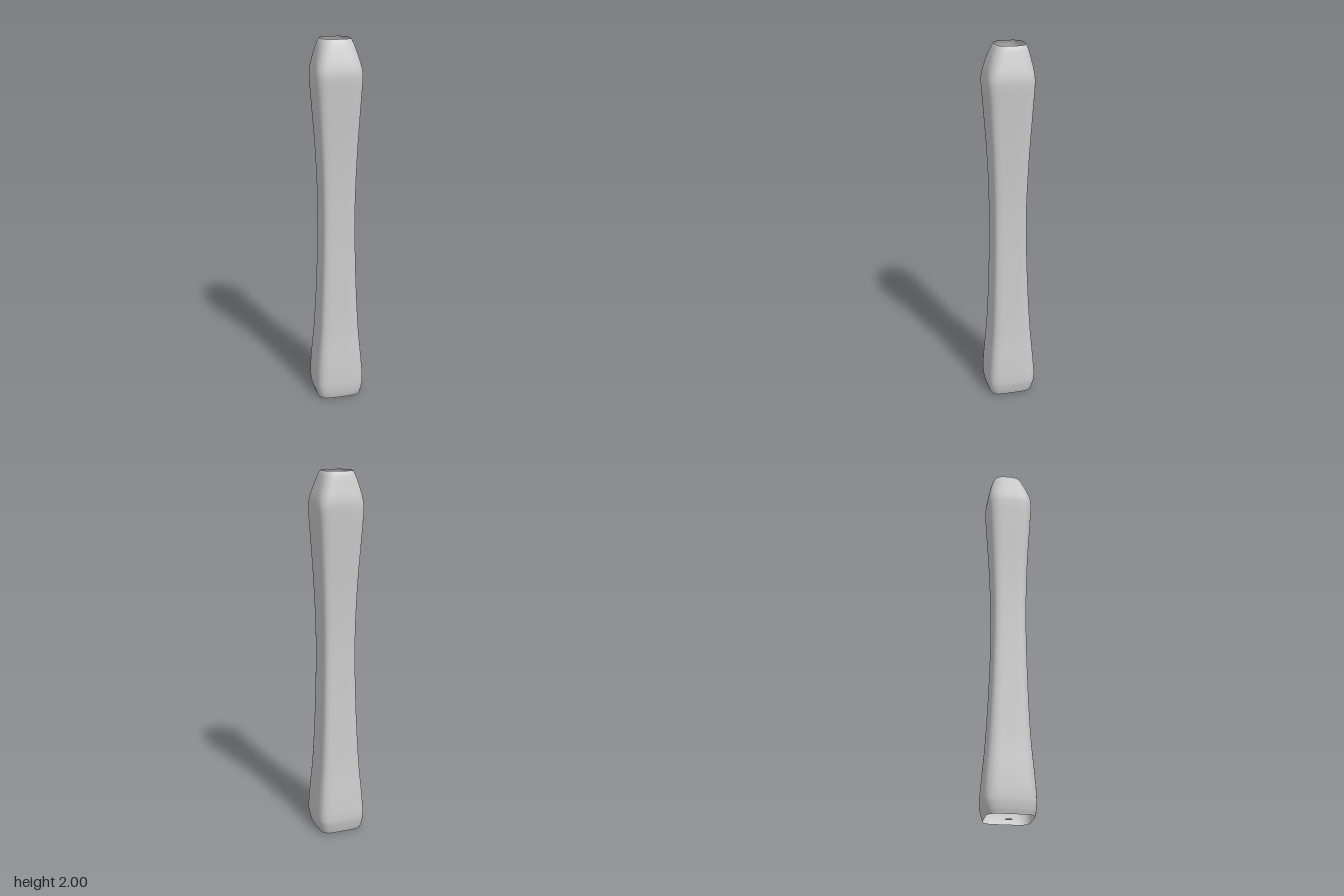
import * as THREE from 'three';

// Rings up the shaft: height, half width, x centre, z centre, squareness
const RINGS = [
  [0, 0.122, -0.003, 0.004, 5],
  [0.03, 0.13, -0.002, 0.003, 5],
  [0.08, 0.136, 0, 0, 5],
  [0.18, 0.131, 0, 0, 5],
  [0.4, 0.112, 0, 0, 5.5],
  [0.75, 0.096, 0, 0.002, 6],
  [1.1, 0.091, 0, 0.003, 6],
  [1.4, 0.1, 0, 0.002, 6],
  [1.7, 0.119, -0.002, 0.002, 5.5],
  [1.81, 0.126, -0.002, 0.002, 5],
  [1.86, 0.122, -0.002, 0, 4.5],
  [1.93, 0.104, -0.003, -0.004, 3.8],
  [1.98, 0.088, -0.003, -0.008, 3.2],
  [2, 0.078, -0.003, -0.009, 3],
];
const SIDES = 80;
const STEPS = 6;

// Smooth value between rings (cubic Hermite with uneven spacing)
function sample(i, t, column) {
  const slope = (k) => {
    const a = RINGS[Math.max(k - 1, 0)];
    const b = RINGS[Math.min(k + 1, RINGS.length - 1)];
    return (b[column] - a[column]) / (b[0] - a[0]);
  };
  const p = RINGS[i], q = RINGS[i + 1], h = q[0] - p[0];
  const t2 = t * t, t3 = t2 * t;
  return (2 * t3 - 3 * t2 + 1) * p[column] + (t3 - 2 * t2 + t) * h * slope(i)
    + (3 * t2 - 2 * t3) * q[column] + (t3 - t2) * h * slope(i + 1);
}

// Open tube of rounded-square cross-sections
function shaftGeometry() {
  const positions = [], index = [];
  const rows = (RINGS.length - 1) * STEPS;
  for (let r = 0; r <= rows; r++) {
    const i = Math.min(Math.floor(r / STEPS), RINGS.length - 2);
    const t = r / STEPS - i;
    const y = RINGS[i][0] + t * (RINGS[i + 1][0] - RINGS[i][0]);
    const [half, cx, cz, n] = [1, 2, 3, 4].map((c) => sample(i, t, c));
    for (let s = 0; s < SIDES; s++) {
      const a = (s / SIDES) * Math.PI * 2;
      const c = Math.cos(a), d = Math.sin(a);
      const radius = half / Math.pow(Math.abs(c) ** n + Math.abs(d) ** n, 1 / n);
      positions.push(cx + radius * c, y, cz + radius * d);
      if (r < rows) {
        const next = (s + 1) % SIDES;
        const p = r * SIDES + s, q = r * SIDES + next;
        index.push(p, p + SIDES, q, q, p + SIDES, q + SIDES);
      }
    }
  }
  const geometry = new THREE.BufferGeometry();
  geometry.setAttribute('position', new THREE.Float32BufferAttribute(positions, 3));
  geometry.setIndex(index);
  geometry.computeVertexNormals();
  return geometry;
}

export function createModel() {
  const group = new THREE.Group();
  group.name = 'handle';
  const material = new THREE.MeshStandardMaterial({ color: 0xcccccc, side: THREE.DoubleSide });

  const shaft = new THREE.Mesh(shaftGeometry(), material);
  shaft.name = 'shaft';
  group.add(shaft);

  // Small flat disc in the middle of the open lower end
  const disc = new THREE.Mesh(new THREE.CircleGeometry(0.019, 32), material);
  disc.name = 'bottomDisc';
  disc.rotation.x = -Math.PI / 2;
  disc.position.set(-0.008, 0.001, 0.005);
  group.add(disc);

  return group;
}
